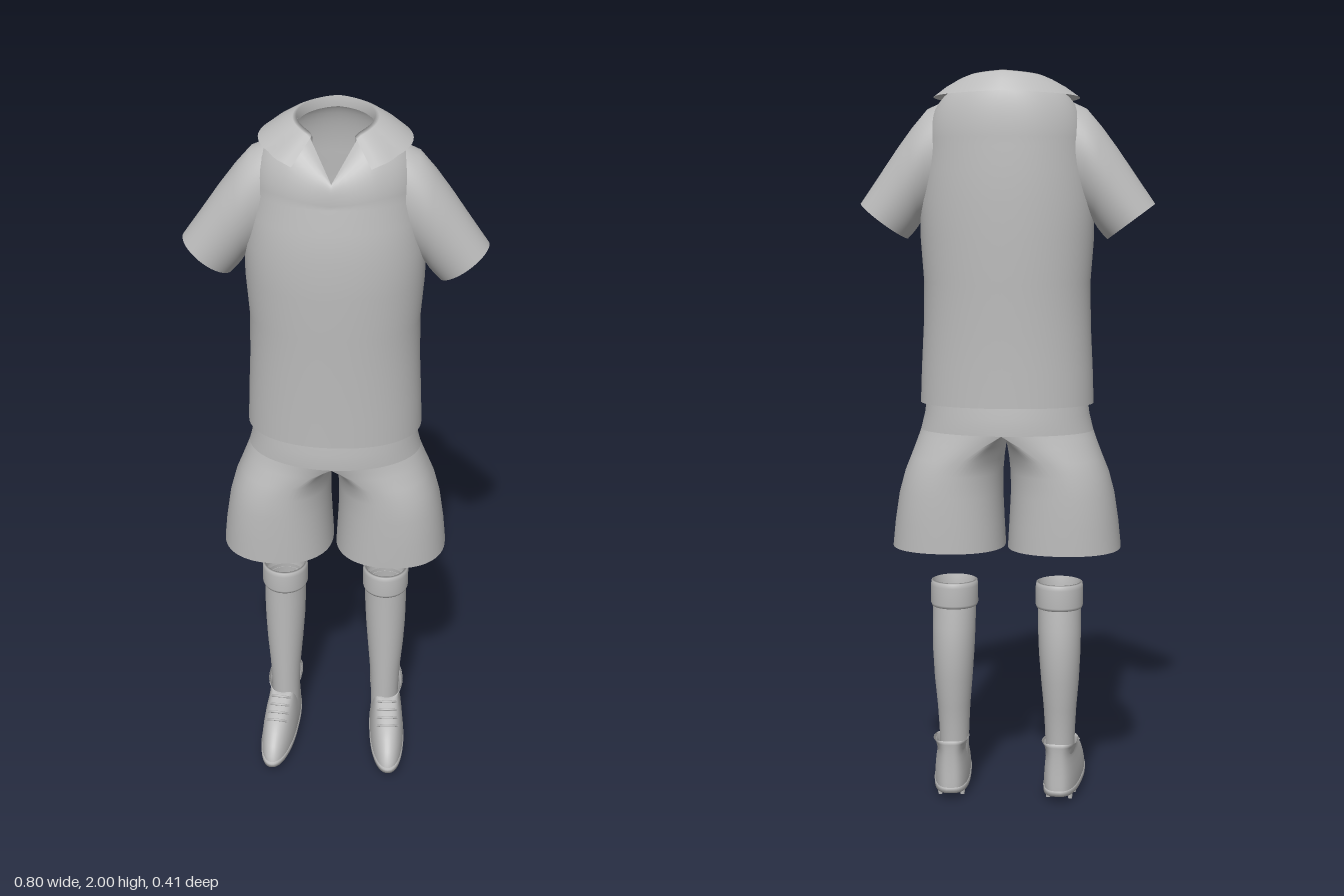
import * as THREE from 'three';

const fabric = new THREE.MeshStandardMaterial({ color: 0xbcbcbc, side: THREE.DoubleSide });
fabric.name = 'plain grey';

const N = 64;
const V = (x, y, z) => new THREE.Vector3(x, y, z);
const lerp = THREE.MathUtils.lerp;
const spow = (v, e) => Math.sign(v) * Math.abs(v) ** e;

// Ring of n points; angle 0 is the front and grows towards +x
const ring = (fn, n = N) => Array.from({ length: n }, (_, i) => fn((i / n) * Math.PI * 2));

// Horizontal oval between front zf and back zb
function oval(cx, y, rx, zf, zb, e = 1) {
  const zc = (zf + zb) / 2, rz = (zf - zb) / 2;
  return ring(a => V(cx + rx * spow(Math.sin(a), e), y, zc + rz * spow(Math.cos(a), e)));
}

// Skin over rows of points, bottom row first
function loft(name, rows, closed = true) {
  const n = rows[0].length, index = [];
  for (let i = 0; i < rows.length - 1; i++) {
    for (let j = 0; j < (closed ? n : n - 1); j++) {
      const k = (j + 1) % n, a = i * n + j, b = i * n + k, c = a + n, d = b + n;
      index.push(a, b, d, a, d, c);
    }
  }
  const g = new THREE.BufferGeometry().setFromPoints(rows.flat());
  g.setIndex(index);
  g.computeVertexNormals();
  return mesh(name, g);
}

function mesh(name, geometry) {
  const m = new THREE.Mesh(geometry, fabric);
  m.name = name;
  return m;
}

// Neckline with a V notch at the front
const notch = (Math.PI * 2 / N) * 6;
function neckPoint(a) {
  const s = a > Math.PI ? -1 : 1, t = s > 0 ? a : Math.PI * 2 - a;
  if (t < notch + 1e-6) {
    const u = t / notch;
    return V(s * 0.06 * u, lerp(1.865, 1.955, u), lerp(0.105, 0.021, u));
  }
  const u = (t - notch) / (Math.PI - notch), b = lerp(0.64, Math.PI, u);
  return V(s * 0.1 * Math.sin(b), lerp(1.955, 1.975, u), -0.055 + 0.095 * Math.cos(b));
}

function shirtBody() {
  const rows = [
    [1.11, 0.238, 0.13, -0.194], [1.2, 0.235, 0.131, -0.193], [1.32, 0.229, 0.133, -0.193],
    [1.44, 0.227, 0.137, -0.197], [1.56, 0.236, 0.141, -0.2], [1.66, 0.236, 0.14, -0.2],
    [1.74, 0.226, 0.13, -0.199], [1.8, 0.217, 0.117, -0.195],
  ].map(([y, rx, zf, zb]) => oval(0, y, rx, zf, zb, 0.93));
  const base = rows[rows.length - 1], neck = ring(neckPoint);
  // Rounded shoulders closing in to the neckline
  for (let i = 1; i <= 10; i++) {
    const t = (i / 10) * Math.PI / 2;
    rows.push(base.map((p, j) => {
      const q = p.clone().lerp(neck[j], 1 - Math.cos(t));
      q.y = lerp(p.y, neck[j].y, Math.sin(t));
      return q;
    }));
  }
  return loft('shirtBody', rows);
}

// Folded collar, open at the front with two points
function collar() {
  const rows = [0, 0.35, 0.7, 0.9, 1, 1.25].map(t => Array.from({ length: 49 }, (_, j) => {
    const s = (j / 48) * 2 - 1, u = 1 - Math.abs(s), sg = Math.sign(s) || 1;
    const bi = lerp(0.56, Math.PI, u), bo = lerp(0.53, Math.PI, u);
    const inner = V(0.1 * Math.sin(bi), lerp(1.962, 2.0, Math.sqrt(u)), -0.055 + 0.095 * Math.cos(bi));
    const outer = V(0.197 * Math.sin(bo), lerp(1.908, 1.945, Math.sqrt(u)),
      lerp(0.105, -0.045 + 0.158 * Math.cos(bo), Math.min(1, u * 6)));
    const p = outer.clone().lerp(inner, Math.min(t, 1));
    p.y += 0.012 * Math.sin(Math.PI * Math.min(t, 1)) * u;
    if (t > 1) p.y -= 0.03;
    // Runs from one front point round the back to the other
    return V(-sg * p.x, p.y, p.z);
  }));
  return loft('collar', rows, false);
}

function sleeve() {
  // Upper x, y and lower x, y of each cross-section, then its depth
  const rows = [
    [0.165, 1.925, 0.19, 1.64, 0.085], [0.215, 1.902, 0.215, 1.62, 0.092], [0.257, 1.853, 0.235, 1.602, 0.09],
    [0.3, 1.795, 0.246, 1.585, 0.086], [0.35, 1.722, 0.258, 1.57, 0.081], [0.4, 1.65, 0.272, 1.555, 0.077],
  ].map(([ux, uy, lx, ly, rz]) => ring(a => {
    const k = (1 + Math.cos(a)) / 2;
    return V(lerp(lx, ux, k), lerp(ly, uy, k), -0.035 + rz * Math.sin(a));
  }));
  return loft('sleeve', rows);
}

function shortsWaist() {
  return loft('shortsWaist', [
    oval(0, 1.035, 0.238, 0.125, -0.193), oval(0, 1.08, 0.227, 0.126, -0.192), oval(0, 1.15, 0.218, 0.115, -0.18),
  ]);
}

// Each leg starts as one half of the waist oval and becomes round
function shortsLeg() {
  const rows = [
    [0.71, 0.316, 0.004, 0.116, -0.19, 1], [0.78, 0.309, 0.008, 0.117, -0.19, 1],
    [0.86, 0.297, 0.012, 0.117, -0.188, 1], [0.92, 0.281, 0.012, 0.115, -0.185, 0.95],
    [0.96, 0.265, 0.01, 0.112, -0.184, 0.8], [1.0, 0.25, 0.006, 0.115, -0.187, 0.45],
    [1.02, 0.243, 0.003, 0.12, -0.19, 0.2], [1.035, 0.238, 0, 0.125, -0.193, 0],
  ].map(([y, xo, xi, zf, zb, round]) => ring(a => {
    const zc = (zf + zb) / 2, rz = (zf - zb) / 2, s = Math.sin(a), c = Math.cos(a);
    const half = s > 0 ? xo * s : 0;
    const full = (xo + xi) / 2 + (xo - xi) / 2 * spow(s, 0.9);
    return V(lerp(half, full, round), y, zc + rz * lerp(c, spow(c, 0.85), round));
  }));
  return loft('shortsLeg', rows);
}

function sock() {
  const g = new THREE.Group();
  g.name = 'sock';
  g.add(loft('sockLeg', [
    [0.1, 0.15, 0.04, 0.012, -0.08], [0.18, 0.15, 0.042, 0.014, -0.086], [0.25, 0.15, 0.046, 0.016, -0.097],
    [0.33, 0.15, 0.053, 0.017, -0.11], [0.41, 0.149, 0.058, 0.019, -0.117], [0.48, 0.148, 0.06, 0.02, -0.114],
    [0.55, 0.147, 0.06, 0.022, -0.106],
  ].map(([y, cx, rx, zf, zb]) => oval(cx, y, rx, zf, zb))));
  g.add(loft('sockCuff', [
    [0.54, 0.057], [0.537, 0.063], [0.545, 0.066], [0.595, 0.066], [0.608, 0.064], [0.61, 0.059], [0.57, 0.057],
  ].map(([y, r]) => oval(0.147, y, r, -0.042 + r * 1.06, -0.042 - r * 1.06))));
  return g;
}

function shoe() {
  const g = new THREE.Group();
  g.name = 'shoe';
  // Outline in plan: tapering toe, blunt heel
  const outline = (y, w, zf, zb, rise = 0) => ring(a => {
    const c = Math.cos(a), zc = (zf + zb) / 2, rz = (zf - zb) / 2;
    return V(w * spow(Math.sin(a), c > 0 ? 0.9 : 0.7), y - rise * (1 + c) / 2, zc + rz * spow(c, c > 0 ? 1 : 0.7));
  });
  g.add(loft('upper', [
    outline(0.03, 0.049, 0.197, -0.143), outline(0.05, 0.05, 0.192, -0.143), outline(0.075, 0.048, 0.173, -0.142),
    outline(0.1, 0.045, 0.145, -0.142), outline(0.122, 0.041, 0.108, -0.142), outline(0.142, 0.039, 0.06, -0.143, 0.004),
    outline(0.158, 0.043, 0.025, -0.144, 0.01), outline(0.17, 0.05, 0.015, -0.146, 0.016),
    outline(0.165, 0.045, 0.01, -0.138, 0.016), outline(0.12, 0.036, 0.012, -0.13),
  ]));
  const sole = outline(0.02, 0.051, 0.202, -0.146);
  g.add(loft('sole', [
    sole.map(() => V(0, 0.02, 0.02)), sole, outline(0.033, 0.052, 0.203, -0.147), outline(0.035, 0.048, 0.196, -0.142),
  ]));
  // Laces across the instep
  for (const [z, y] of [[0.03, 0.152], [0.056, 0.142], [0.082, 0.134], [0.106, 0.124]]) {
    const path = new THREE.CatmullRomCurve3([
      V(-0.03, y - 0.014, z - 0.012), V(-0.014, y - 0.001, z), V(0.014, y - 0.001, z), V(0.03, y - 0.014, z - 0.012),
    ]);
    g.add(mesh('lace', new THREE.TubeGeometry(path, 12, 0.004, 6)));
  }
  // Studs under the sole
  for (const [x, z] of [[0.017, 0.157], [0.034, 0.1], [0.036, 0.06], [0.034, -0.038], [0.031, -0.092]]) {
    for (const s of [-1, 1]) {
      const stud = mesh('stud', new THREE.CylinderGeometry(0.008, 0.006, 0.022, 12));
      stud.position.set(s * x, 0.011, z);
      g.add(stud);
    }
  }
  g.position.set(0.159, 0, 0);
  g.rotation.y = 0.075;
  return g;
}

export function createModel() {
  const model = new THREE.Group();
  model.name = 'sportsKit';
  model.add(shirtBody(), collar(), shortsWaist());
  for (const side of [1, -1]) {
    const half = new THREE.Group();
    half.name = side > 0 ? 'leftSide' : 'rightSide';
    half.add(sleeve(), shortsLeg(), sock(), shoe());
    half.scale.x = side;
    model.add(half);
  }
  return model;
}
